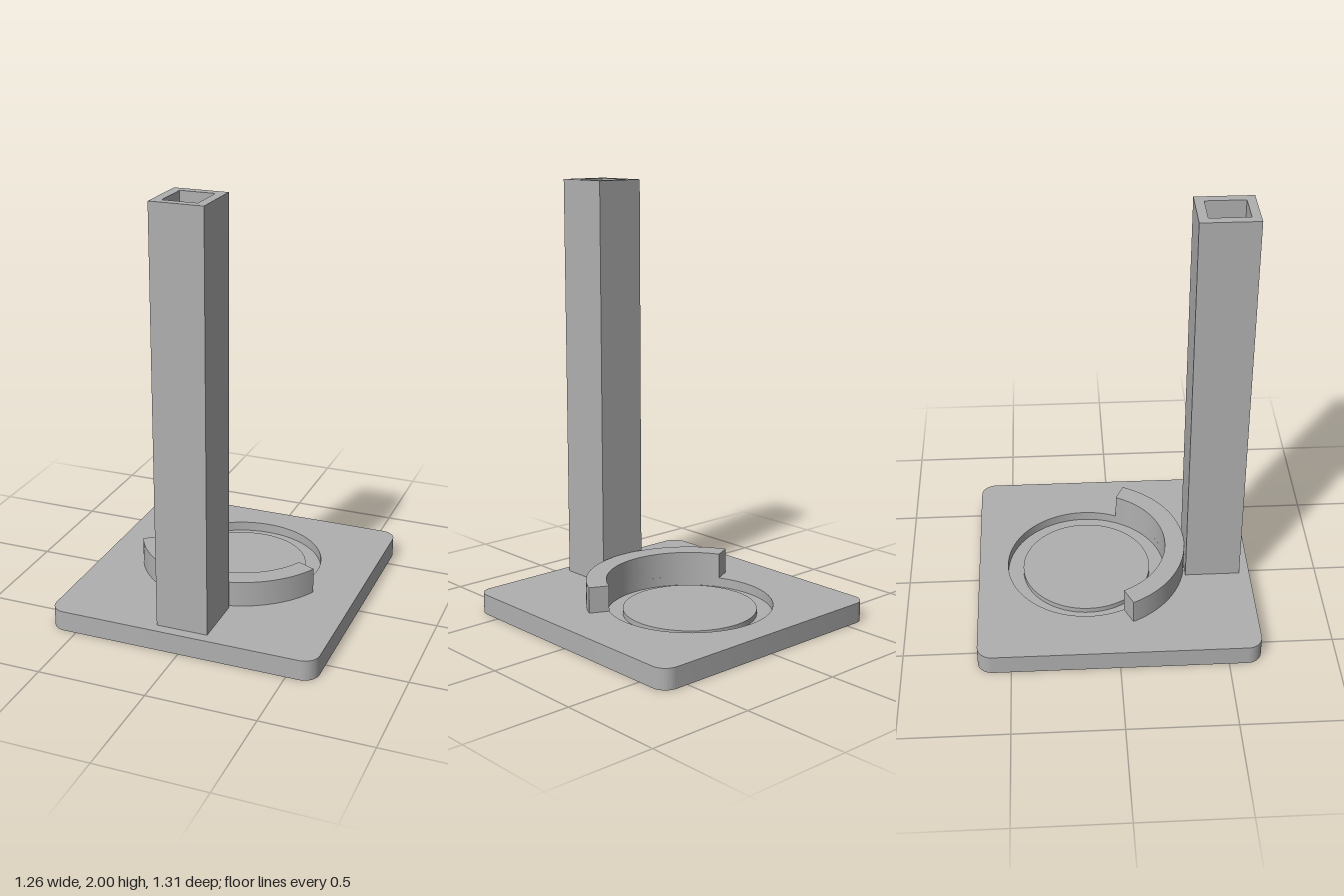
import * as THREE from 'three';
import { toCreasedNormals } from 'three/addons/utils/BufferGeometryUtils.js';

const BASE_TOP = 0.095;
const RING_Z = -0.132;   // centre of the round seat
const RING_R = 0.382;

// Extrudes a plan outline (x, z) between two heights
function slab(shape, bottom, top) {
  const g = new THREE.ExtrudeGeometry(shape, { depth: top - bottom, bevelEnabled: false, curveSegments: 48 });
  g.rotateX(Math.PI / 2);
  g.translate(0, top, 0);
  return toCreasedNormals(g, Math.PI / 6);
}

function rectangle(path, x, z0, z1) {
  path.moveTo(-x, z0);
  path.lineTo(x, z0);
  path.lineTo(x, z1);
  path.lineTo(-x, z1);
  path.closePath();
  return path;
}

function roundedRectangle(x, z, r) {
  const s = new THREE.Shape();
  s.absarc(x - r, z - r, r, 0, Math.PI / 2);
  s.absarc(-x + r, z - r, r, Math.PI / 2, Math.PI);
  s.absarc(-x + r, -z + r, r, Math.PI, Math.PI * 1.5);
  s.absarc(x - r, -z + r, r, Math.PI * 1.5, Math.PI * 2);
  s.closePath();
  return s;
}

function circle(r) {
  return new THREE.Shape().absarc(0, RING_Z, r, 0, Math.PI * 2);
}

export function createModel() {
  const group = new THREE.Group();
  const grey = new THREE.MeshStandardMaterial({ color: 0xb0b0b0 });
  grey.name = 'grey';
  const add = (name, geometry) => {
    const mesh = new THREE.Mesh(geometry, grey);
    mesh.name = name;
    group.add(mesh);
  };

  // Rounded base with a round recess
  const base = roundedRectangle(0.63, 0.654, 0.07);
  base.holes.push(circle(RING_R));
  add('base', slab(base, 0, BASE_TOP));
  add('recessFloor', slab(circle(RING_R), 0, 0.05));

  // Raised disc inside the recess
  add('seatDisc', slab(circle(0.308), 0.05, 0.075));

  // Curved fence along the front of the recess
  const a = THREE.MathUtils.degToRad(25.3);
  const fence = new THREE.Shape();
  fence.absarc(0, RING_Z, 0.475, a, Math.PI - a, false);
  fence.absarc(0, RING_Z, RING_R, Math.PI - a, a, true);
  fence.closePath();
  add('fence', slab(fence, BASE_TOP, 0.215));

  // Hollow square post
  const post = rectangle(new THREE.Shape(), 0.12, 0.343, 0.605);
  post.holes.push(rectangle(new THREE.Path(), 0.078, 0.385, 0.565));
  add('post', slab(post, BASE_TOP, 2));

  return group;
}
